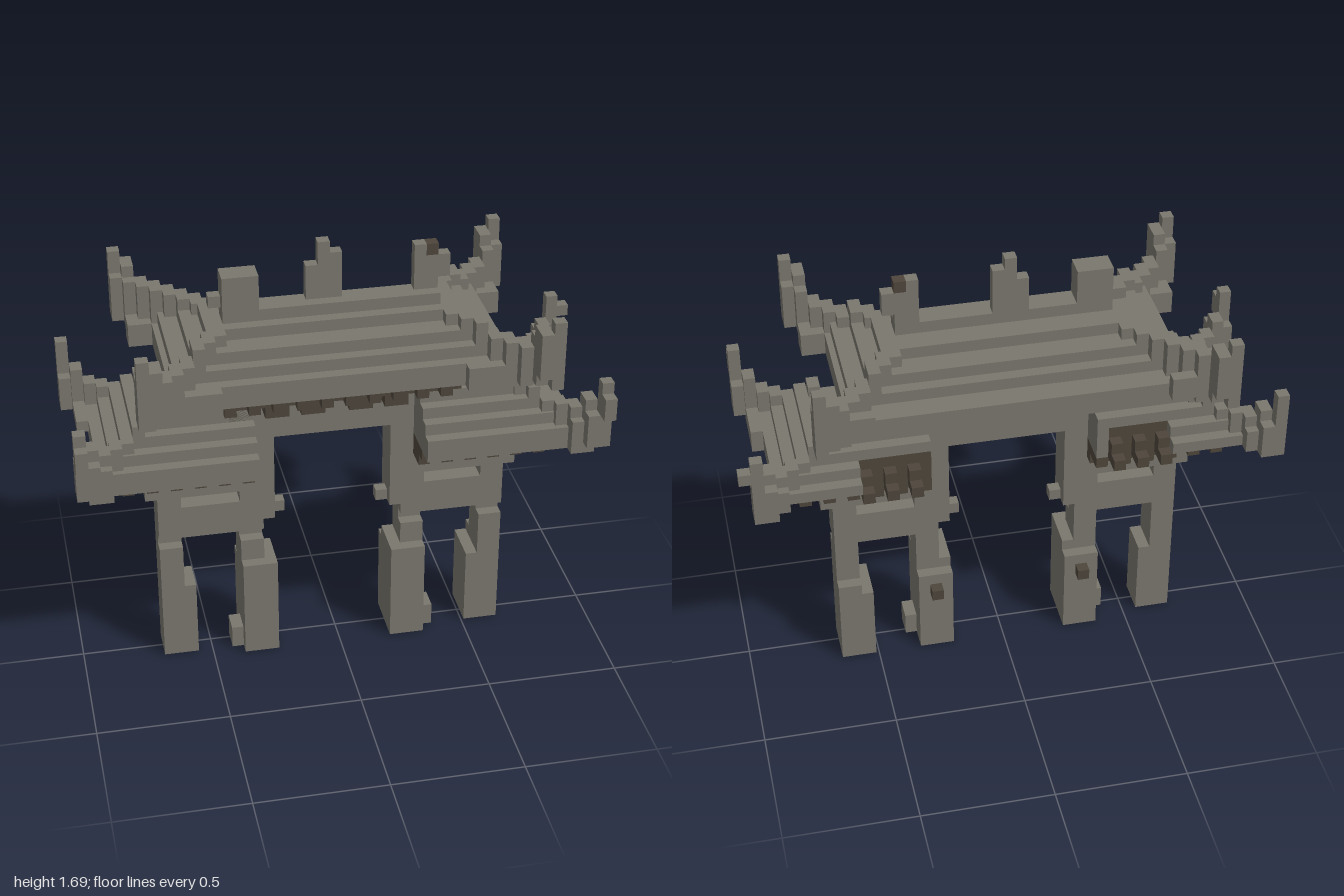
import * as THREE from 'three';

const V = 2 / 45; // edge of one block

export function createModel() {
  const stone = new THREE.MeshStandardMaterial({ color: 0x7a776d });
  stone.name = 'weathered stone';
  const wood = new THREE.MeshStandardMaterial({ color: 0x4e463c });
  wood.name = 'dark timber';

  const model = new THREE.Group();
  model.name = 'gate';
  const group = (name) => {
    const g = new THREE.Group();
    g.name = name;
    model.add(g);
    return g;
  };

  // Box between block coordinates; x is measured from the gate's axis
  function box(parent, name, [x0, x1], [y0, y1], [z0, z1], mat = stone) {
    const m = new THREE.Mesh(new THREE.BoxGeometry((x1 - x0) * V, (y1 - y0) * V, (z1 - z0) * V), mat);
    m.position.set(((x0 + x1) / 2 - 0.5) * V, ((y0 + y1) / 2) * V, ((z0 + z1) / 2) * V);
    m.name = name;
    parent.add(m);
  }
  // Same box on the left and right
  function pair(parent, name, x, y, z, mat) {
    box(parent, name, x, y, z, mat);
    box(parent, name, [-x[1], -x[0]], y, z, mat);
  }
  // Same box at all four corners
  function four(parent, name, x, y, z, mat) {
    pair(parent, name, x, y, z, mat);
    pair(parent, name, x, y, [-z[1], -z[0]], mat);
  }
  const deep = (d) => [-d, d];

  // Posts and cross bars
  const posts = group('posts');
  pair(posts, 'innerBase', [5, 8], [0, 8], deep(2.5));
  pair(posts, 'innerBaseTop', [5, 8], [8, 9], [-1.5, 2.5]);
  pair(posts, 'innerFoot', [8, 9], [0, 2], [-0.5, 1.5]);
  pair(posts, 'innerNeck', [6, 8], [9, 11], deep(1.5));
  pair(posts, 'innerNeckTop', [6, 8], [11, 12], [-1.5, 0.5]);
  pair(posts, 'innerPost', [5, 7], [13, 21], deep(1.5));
  pair(posts, 'postKnob', [4, 6], [13, 14], deep(0.5));
  pair(posts, 'backPeg', [6, 7], [6, 7], [-3.5, -2.5], wood);
  box(posts, 'leftOuterBase', [12, 15], [0, 7], [-2.5, 1.5]);
  box(posts, 'leftOuterBaseTop', [13, 15], [7, 8], [-2.5, 1.5]);
  box(posts, 'rightOuterBase', [-15, -12], [0, 7], deep(1.5));
  box(posts, 'rightOuterBaseTop', [-15, -13], [7, 8], deep(1.5));
  pair(posts, 'outerPost', [13, 15], [8, 11], deep(1.5));
  pair(posts, 'outerPostNeck', [13, 15], [11, 12], [-1.5, 0.5]);
  pair(posts, 'lowerCrossBar', [6, 15], [12, 15], deep(1.5));
  pair(posts, 'outerSlotEnd', [13, 15], [15, 16], deep(1.5));
  pair(posts, 'innerSlotEnd', [7, 8], [15, 16], deep(1.5));
  pair(posts, 'upperCrossBar', [7, 16], [16, 18], deep(1.5));

  // Lintel over the central passage
  const lintel = group('lintel');
  box(lintel, 'lintelBeam', deep(8), [21, 25], deep(1.5));

  // Timber brackets under both side roofs
  const sideBrackets = group('sideBrackets');
  pair(sideBrackets, 'bracketLow', [7, 17], [18, 19], deep(2.5), wood);
  pair(sideBrackets, 'bracketHigh', [7, 18], [19, 20], deep(3.5), wood);
  for (let x = 7; x < 18; x += 2) {
    four(sideBrackets, 'bracketTooth', [x, x + 1], [19, 20], [3.5, 4.5], wood);
    pair(sideBrackets, 'bracketDrop', [x, x + 1], [18, 19], [2.5, 3.5], wood);
  }
  // Timber left bare at the back, next to the passage
  pair(sideBrackets, 'backBracket', [8, 13], [20, 23], [-4.5, -2.5], wood);
  box(sideBrackets, 'leftBracketEnd', [7, 8], [20, 23], [-4.5, -2.5], wood);
  box(sideBrackets, 'rightBracketCap', [-8, -7], [20, 23], [-4.5, -2.5]);
  for (let x = 8; x < 13; x += 2) {
    pair(sideBrackets, 'backBracketTooth', [x, x + 1], [20, 22], [-5.5, -4.5], wood);
    pair(sideBrackets, 'backBracketTip', [x, x + 1], [20, 21], [-6.5, -5.5], wood);
  }

  // Stepped side roofs: [outer x, bottom, top, half depth, inner x and bottom of the back half]
  const sideRoofs = group('sideRoofs');
  [
    [20, 20, 22, 6.5, 13, 21], [19, 22, 23, 5.5, 13, 22], [18, 23, 24, 4.5, 7, 23],
    [17, 24, 25, 3.5, 7, 24],
  ].forEach(([x, y0, y1, z, back, backY]) => {
    pair(sideRoofs, 'roofStep', [7, x], [y0, y1], [-2.5, z]);
    pair(sideRoofs, 'roofStepBack', [back, x], [backY, y1], [-z, -2.5]);
  });
  pair(sideRoofs, 'backEaveFloor', [13, 20], [20, 21], [-4.5, -2.5]);
  pair(sideRoofs, 'sideRidge', [7, 16], [25, 26], deep(0.5));
  pair(sideRoofs, 'frontEaveEnd', [20, 21], [20, 22], [2.5, 6.5]);
  pair(sideRoofs, 'backEaveEnd', [20, 21], [21, 22], [-6.5, -2.5]);
  // Hip ridges that climb to the corners
  [
    [15, 3, 26], [16, 3.75, 25], [17, 4.5, 24], [18, 5.25, 24], [19, 6, 24], [20, 6.75, 25],
  ].forEach(([x, z, top]) => four(sideRoofs, 'hipRidge', [x, x + 1], [21, top], [z - 0.75, z + 0.75]));
  pair(sideRoofs, 'frontCornerBlock', [19, 21], [20, 23], [6.5, 7.5]);
  pair(sideRoofs, 'backCornerBlock', [19, 21], [21, 23], [-7.5, -6.5]);
  four(sideRoofs, 'cornerHorn', [21, 22], [21, 27], [7.5, 8.5]);
  four(sideRoofs, 'cornerHornRoot', [20, 22], [21, 24], [6.5, 8.5]);
  pair(sideRoofs, 'frontHornTip', [21, 22], [24, 26], [8.5, 9.5]);
  box(sideRoofs, 'leftHornTip', [22, 23], [25, 26], [-8.5, -7.5]);

  // Timber brackets under the main roof, around a stone core
  const mainBrackets = group('mainBrackets');
  box(mainBrackets, 'stoneCore', deep(11), [26, 27], deep(2.5));
  box(mainBrackets, 'bracketLow', deep(10.5), [25, 26], deep(3.5), wood);
  four(mainBrackets, 'bracketHigh', [0, 11], [26, 27], [2.5, 4.5], wood);
  for (let x = 0.5; x < 10; x += 2) {
    four(mainBrackets, 'bracketTooth', [x, x + 1], [25, 26], [3.5, 4.5], wood);
    pair(mainBrackets, 'backBracketEnd', [x, x + 1], [26, 27], [-5.5, -4.5], wood);
  }
  for (let x = 1; x < 8; x += 3) {
    four(mainBrackets, 'bracketDrop', [x, x + 2], [24, 25], [1.5, 3.5], wood);
  }

  // Stepped main roof: [half width, bottom, top, half depth]
  const mainRoof = group('mainRoof');
  [
    [14, 27, 29, 6.5], [13.5, 29, 30, 5.5], [12, 30, 31, 4.5],
    [10.5, 31, 32, 2.5],
  ].forEach(([x, y0, y1, z]) => box(mainRoof, 'roofStep', deep(x), [y0, y1], deep(z)));
  box(mainRoof, 'backEave', deep(12), [27, 29], [-7.5, -6.5]);
  box(mainRoof, 'topRidge', deep(9), [32, 33], [-0.5, 1.5]);
  // Hip ridges that climb to the corners
  [
    [9, 2, 32], [10, 3, 32], [11, 4, 32], [12, 5, 31], [13, 6, 31], [14, 7, 31], [15, 8, 32],
  ].forEach(([x, z, top]) => four(mainRoof, 'hipRidge', [x, x + 1], [Math.max(27.5, top - 4), top], [z - 0.5, z + 1.5]));
  // The back right hip stands one block taller
  for (let x = 12; x < 15; x++) {
    box(mainRoof, 'tallHip', [-x - 1, -x], [31, 32], [5.5 - x, 7.5 - x]);
  }
  four(mainRoof, 'cornerEave', [10, 16], [27, 29], [5.5, 7.5]);
  pair(mainRoof, 'backCornerEave', [12, 16], [28, 30], [-8.5, -7.5]);
  four(mainRoof, 'cornerBlock', [14, 16], [28, 31], [7.5, 8.5]);
  four(mainRoof, 'cornerHornRoot', [15, 17], [28, 32], [8.5, 9.5]);
  four(mainRoof, 'cornerHorn', [16, 17], [28, 34], [9.5, 10.5]);
  four(mainRoof, 'cornerHornStep', [15, 16], [29, 33], [8.5, 10.5]);

  // Ornaments along the ridge
  const ornaments = group('ridgeOrnaments');
  box(ornaments, 'rightFinial', [-9, -6], [32, 36], [-0.5, 1.5]);
  box(ornaments, 'rightFinialTail', [-10, -9], [33, 34], deep(0.5));
  box(ornaments, 'centreFinial', [-2, 1], [33, 36], deep(0.5));
  box(ornaments, 'centreFinialNeck', [-1, 1], [36, 37], deep(0.5));
  box(ornaments, 'centreFinialTip', [-1, 0], [37, 38], deep(0.5));
  box(ornaments, 'leftFinial', [7, 9], [32, 36], deep(0.5));
  box(ornaments, 'leftFinialTail', [9, 10], [34, 36], deep(0.5));
  box(ornaments, 'leftFinialTip', [7, 8], [36, 37], deep(0.5));
  box(ornaments, 'leftFinialCap', [8, 9], [36, 37], deep(0.5), wood);

  return model;
}
